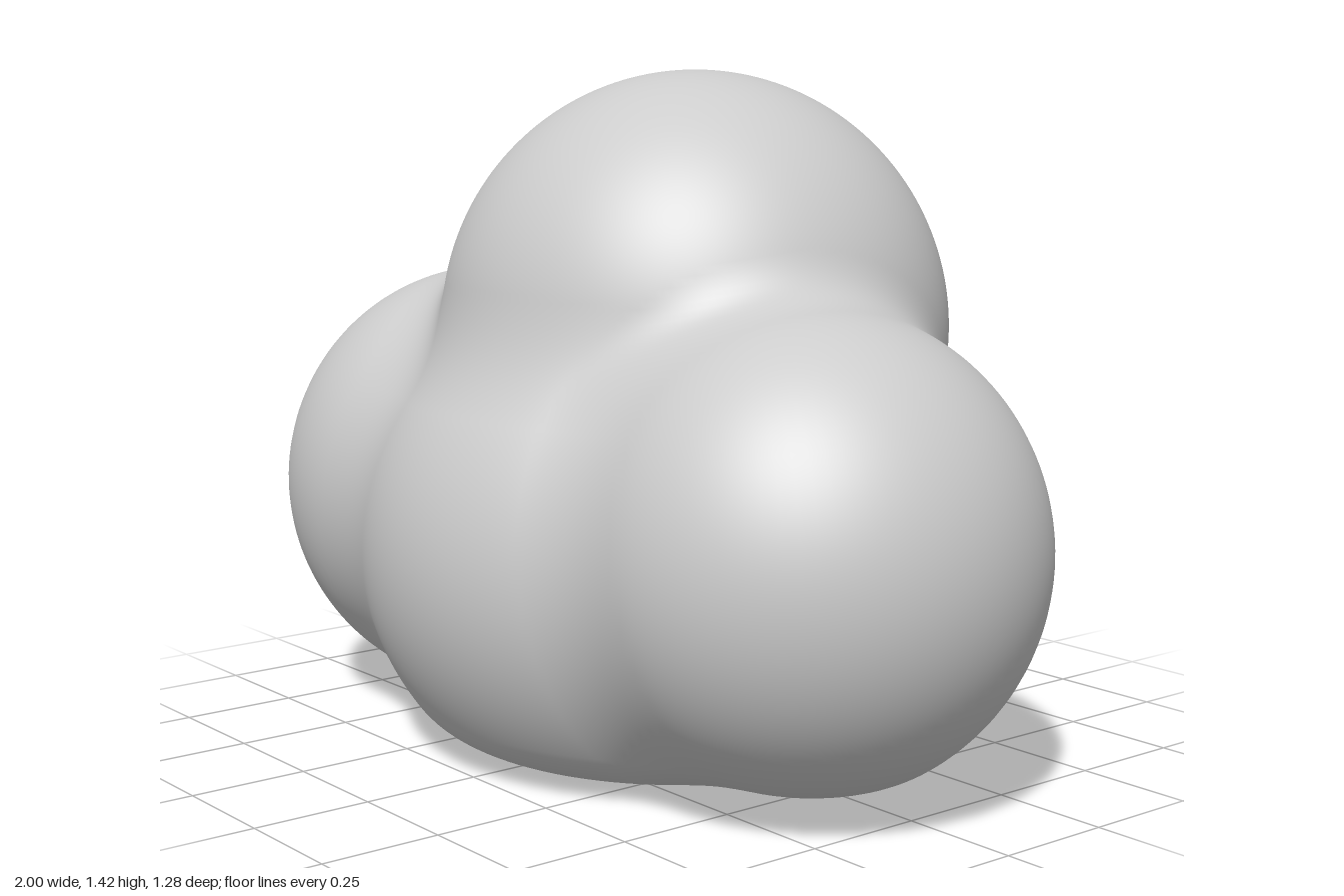
import * as THREE from 'three';

// Puffs that melt together: centre and radii
const puffs = [
  { c: [0, 0.43, 0], r: [0.67, 0.59, 0.64] },          // wide middle
  { c: [0, 0.88, -0.08], r: [0.54, 0.54, 0.535] },     // crown
  { c: [0.53, 0.5, 0.07], r: [0.47, 0.48, 0.47] },     // left side
  { c: [-0.53, 0.5, 0.07], r: [0.47, 0.48, 0.47] },    // right side
];

const smoothMin = (a, b, k) => {
  const h = Math.max(k - Math.abs(a - b), 0) / k;
  return Math.min(a, b) - h * h * k * 0.25;
};

// Approximate distance to an ellipsoid
function ellipsoid(p, { c, r }) {
  const x = p.x - c[0], y = p.y - c[1], z = p.z - c[2];
  const k0 = Math.hypot(x / r[0], y / r[1], z / r[2]);
  const k1 = Math.hypot(x / r[0] ** 2, y / r[1] ** 2, z / r[2] ** 2);
  return k1 < 1e-6 ? -r[1] : (k0 * (k0 - 1)) / k1;
}

// Blended puffs, cut flat at the ground with a soft edge
function field(p) {
  const d = puffs.map((s) => ellipsoid(p, s)).reduce((a, b) => smoothMin(a, b, 0.1));
  return -smoothMin(-d, p.y, 0.1);
}

function createCloudGeometry() {
  const geometry = new THREE.SphereGeometry(1, 192, 144);
  const pos = geometry.attributes.position, nor = geometry.attributes.normal;
  const core = new THREE.Vector3(0, 0.5, 0);
  const dir = new THREE.Vector3(), p = new THREE.Vector3(), q = new THREE.Vector3();
  const slope = (axis) => {
    const e = 0.002;
    const ahead = field(q.copy(p).setComponent(axis, p.getComponent(axis) + e));
    return ahead - field(q.copy(p).setComponent(axis, p.getComponent(axis) - e));
  };
  for (let i = 0; i < pos.count; i++) {
    // Push each vertex out from the core to the blended surface
    dir.fromBufferAttribute(pos, i).normalize();
    let near = 0, far = 1.6;
    for (let n = 0; n < 24; n++) {
      const mid = (near + far) / 2;
      if (field(p.copy(core).addScaledVector(dir, mid)) < 0) near = mid;
      else far = mid;
    }
    p.copy(core).addScaledVector(dir, near);
    pos.setXYZ(i, p.x, p.y, p.z);
    // Smooth normal from the slope of the field
    dir.set(slope(0), slope(1), slope(2)).normalize();
    nor.setXYZ(i, dir.x, dir.y, dir.z);
  }
  return geometry;
}

export function createModel() {
  const model = new THREE.Group();
  model.name = 'cloud';
  const grey = new THREE.MeshStandardMaterial({ color: 0xcccccc });
  grey.name = 'light grey';
  const body = new THREE.Mesh(createCloudGeometry(), grey);
  body.name = 'cloudBody';
  model.add(body);
  return model;
}
